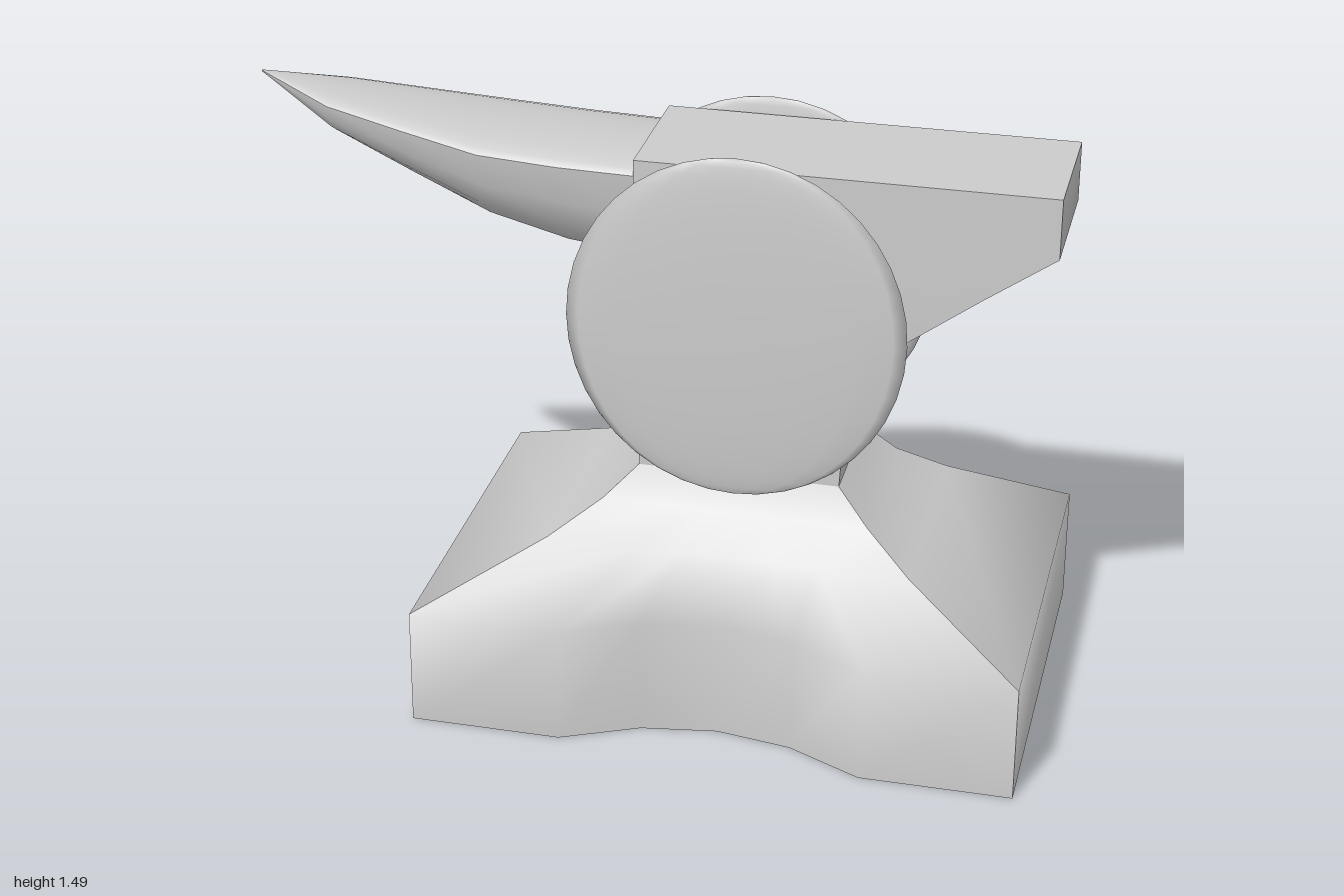
import * as THREE from 'three';
import { mergeGeometries } from 'three/addons/utils/BufferGeometryUtils.js';

const grey = new THREE.MeshStandardMaterial({ color: 0xcccccc });

function surface(points, index) {
  const g = new THREE.BufferGeometry();
  g.setAttribute('position', new THREE.Float32BufferAttribute(points.flat(), 3));
  g.setIndex(index);
  g.computeVertexNormals();
  return g;
}

// Flat end cap, fanned from the middle of a ring
function cap(ring, flip) {
  const n = ring.length;
  const mid = [0, 1, 2].map(k => ring.reduce((s, p) => s + p[k], 0) / n);
  const index = [];
  for (let j = 0; j < n; j++) {
    const a = j, b = (j + 1) % n;
    index.push(n, flip ? b : a, flip ? a : b);
  }
  return surface([...ring, mid], index);
}

// Each section is a closed loop of sides; a side is smooth along the loft,
// with sharp edges where sides meet.
function loft(sections) {
  const parts = [];
  for (let s = 0; s < sections[0].length; s++) {
    const n = sections[0][s].length, index = [];
    for (let i = 0; i < sections.length - 1; i++) {
      for (let j = 0; j < n - 1; j++) {
        const a = i * n + j, b = a + 1, c = b + n, d = a + n;
        index.push(a, b, c, a, c, d);
      }
    }
    parts.push(surface(sections.flatMap(sec => sec[s]), index));
  }
  const ring = sec => sec.flatMap(side => side.slice(0, -1));
  parts.push(cap(ring(sections[0]), true), cap(ring(sections.at(-1)), false));
  return mergeGeometries(parts);
}

// Four-sided level at height y; notch pulls the front and back inwards
function level(y, x0, x1, hz, notch = 0) {
  const profile = [[0, 0], [0.25, 0], [0.375, 0.09], [0.5, 0.12], [0.625, 0.09], [0.75, 0], [1, 0]];
  const front = profile.map(([t, d]) => [x0 + (x1 - x0) * t, y, hz - d * notch]);
  const back = front.map(([x, , z]) => [x, y, -z]).reverse();
  return [front, [[x1, y, hz], [x1, y, -hz]], back, [[x0, y, -hz], [x0, y, hz]]];
}

// Horn section: shallow domed top and half-round underside
function hornSection([x, top, bottom, w, z0]) {
  const edge = top - 0.22 * w, upper = [], lower = [];
  for (let i = 0; i <= 8; i++) {
    const a = (i / 8) * Math.PI, c = Math.cos(a), s = Math.sin(a);
    upper.push([x, edge + (top - edge) * s, z0 + w * c]);
    lower.push([x, edge - (edge - bottom) * s, z0 - w * c]);
  }
  return [upper, lower];
}

export function createModel() {
  const model = new THREE.Group();
  const add = (name, geometry) => {
    const mesh = new THREE.Mesh(geometry, grey);
    mesh.name = name;
    model.add(mesh);
    return mesh;
  };

  // Spreading foot, notched front and back, sloping up to the waist
  add('base', loft([
    level(0, -0.5, 1, 0.5, 1),
    level(0.3, -0.5, 1, 0.5, 1),
    level(0.45, -0.2, 0.7, 0.3),
    level(0.53, -0.08, 0.58, 0.215),
    level(0.61, 0, 0.5, 0.17),
  ]));

  // Waist flaring into the flat face and square heel
  add('body', loft([
    level(0.61, 0, 0.5, 0.17),
    level(0.7, 0, 0.505, 0.17),
    level(0.85, 0, 0.55, 0.172),
    level(1.02, 0, 0.655, 0.18),
    level(1.15, -0.01, 0.83, 0.182),
    level(1.27, -0.01, 1, 0.182),
    level(1.42, -0.01, 1, 0.182),
  ]));

  // Upturned pointed horn: x, top, bottom, half width, z centre
  add('horn', loft([
    [0, 1.417, 1.11, 0.178, 0],
    [-0.2, 1.42, 1.13, 0.18, -0.005],
    [-0.4, 1.427, 1.18, 0.176, -0.012],
    [-0.6, 1.445, 1.265, 0.138, -0.015],
    [-0.8, 1.465, 1.355, 0.097, -0.015],
    [-1, 1.485, 1.481, 0.002, -0.018],
  ].map(hornSection)));

  // Flattened round discs on both sides
  for (const [name, z] of [['frontDisc', 0.21], ['backDisc', -0.2]]) {
    const disc = add(name, new THREE.SphereGeometry(1, 16, 20));
    disc.scale.set(0.415, 0.44, 0.03);
    disc.position.set(0.245, 1.02, z);
  }

  return model;
}
